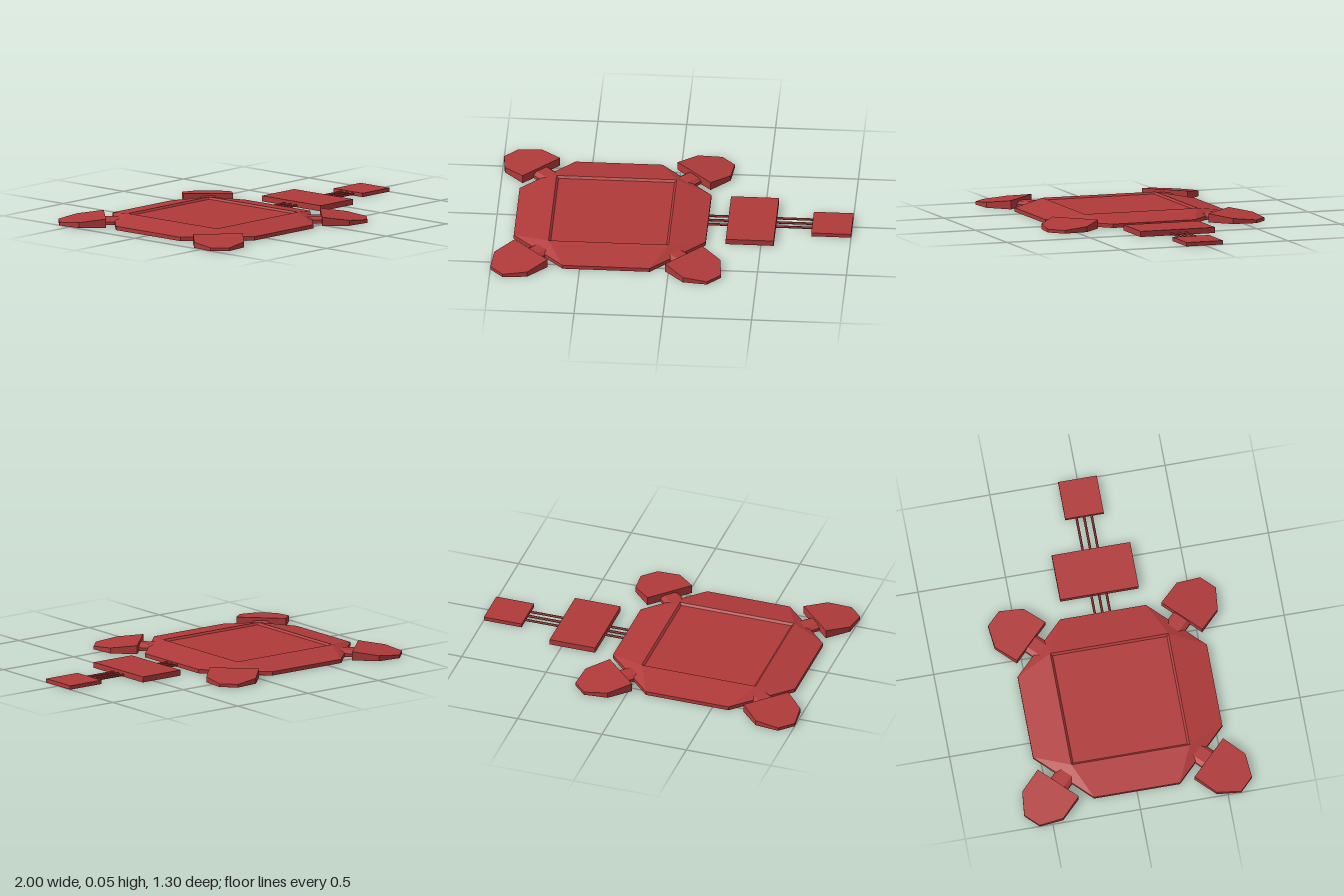
import * as THREE from 'three';

const material = new THREE.MeshStandardMaterial({ color: 0xb03a3a, flatShading: true, side: THREE.DoubleSide });

// Skin over stacked loops of [x, y, z] points, open below and closed at the last loop
function shell(name, loops) {
  const pos = [];
  const tri = (a, b, c) => {
    const ab = new THREE.Vector3(...b).sub(new THREE.Vector3(...a));
    const ac = new THREE.Vector3(...c).sub(new THREE.Vector3(...a));
    if (ab.cross(ac).length() > 1e-9) pos.push(...a, ...b, ...c);
  };
  const n = loops[0].length;
  for (let k = 0; k < loops.length - 1; k++) {
    for (let i = 0; i < n; i++) {
      const j = (i + 1) % n, lo = loops[k], hi = loops[k + 1];
      tri(lo[i], hi[i], hi[j]);
      tri(lo[i], hi[j], lo[j]);
    }
  }
  const top = loops[loops.length - 1];
  const centre = [0, 1, 2].map((a) => top.reduce((s, p) => s + p[a], 0) / n);
  for (let i = 0; i < n; i++) tri(centre, top[(i + 1) % n], top[i]);
  const geo = new THREE.BufferGeometry();
  geo.setAttribute('position', new THREE.Float32BufferAttribute(pos, 3));
  geo.computeVertexNormals();
  const mesh = new THREE.Mesh(geo, material);
  mesh.name = name;
  return mesh;
}

// Square loop with cut corners; flat = half and cut = 0 gives a plain square
const octagon = (half, flat, y) => [
  [half, -flat], [half, flat], [flat, half], [-flat, half],
  [-half, flat], [-half, -flat], [-flat, -half], [flat, -half],
].map(([x, z]) => [x, y, z]);

const rectangle = (hx, hz, y) => [[hx, y, -hz], [hx, y, hz], [-hx, y, hz], [-hx, y, -hz]];

export function createModel() {
  const group = new THREE.Group();

  const device = new THREE.Group();
  device.name = 'device';
  device.position.x = -0.35;
  group.add(device);

  // Sloped octagonal housing with a sunken square panel
  device.add(shell('housing', [
    octagon(0.54, 0.245, 0),
    octagon(0.54, 0.245, 0.022),
    octagon(0.338, 0.338, 0.055),
    octagon(0.326, 0.326, 0.044),
  ]));

  // Four diagonal feet, each on a short neck
  const footOutline = [[0.608, -0.14], [0.76, -0.14], [0.866, -0.053], [0.866, 0.053], [0.76, 0.14], [0.608, 0.14]];
  const footHeight = (u) => 0.05 - 0.123 * (u - 0.608);
  for (let i = 0; i < 4; i++) {
    const corner = new THREE.Group();
    corner.name = 'corner' + (i + 1);
    corner.rotation.y = Math.PI / 4 + i * Math.PI / 2;
    corner.add(shell('foot', [
      footOutline.map(([u, v]) => [u, 0, v]),
      footOutline.map(([u, v]) => [u, footHeight(u), v]),
    ]));
    const neck = shell('neck', [
      rectangle(0.06, 0.058, 0),
      rectangle(0.06, 0.058, 0.018),
      rectangle(0.06, 0.035, 0.034),
    ]);
    neck.position.x = 0.56;
    corner.add(neck);
    device.add(corner);
  }

  // Connector boxes strung along the cable
  const boxes = [['controlBox', 0.437, 0.135, 0.224, 0.032], ['endBox', 0.888, 0.112, 0.11, 0.022]];
  for (const [name, x, hx, hz, h] of boxes) {
    const box = shell(name, [rectangle(hx, hz, 0), rectangle(hx, hz, h)]);
    box.position.x = x;
    group.add(box);
  }

  // Three parallel wires
  for (const z of [-0.046, -0.003, 0.04]) {
    const wire = new THREE.Mesh(new THREE.CylinderGeometry(0.007, 0.007, 0.64, 6), material);
    wire.name = 'wire';
    wire.rotation.z = Math.PI / 2;
    wire.position.set(0.48, 0.011, z);
    group.add(wire);
  }
  return group;
}
